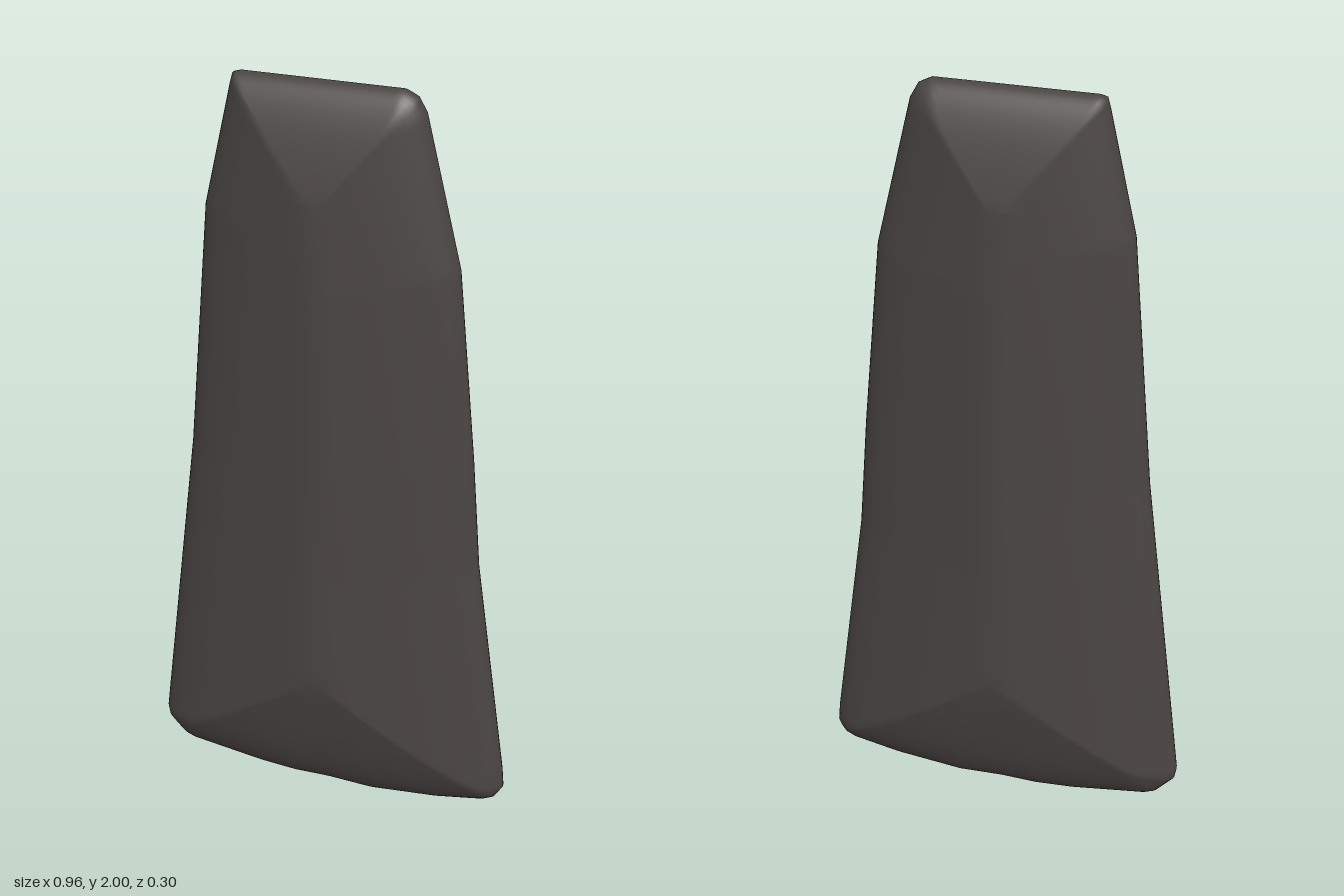
import * as THREE from 'three';
import { mergeVertices } from 'three/addons/utils/BufferGeometryUtils.js';

// Outline of the blade, anticlockwise from the bottom centre
const OUTLINE = [
  [0, 0.008], [0.12, 0.002], [0.3, 0.02], [0.43, 0.045], [0.46, 0.06], [0.48, 0.095],
  [0.475, 0.15], [0.385, 0.78], [0.36, 1.08], [0.31, 1.58], [0.22, 1.95], [0.2, 1.985],
  [0.17, 2], [-0.22, 2], [-0.236, 1.995], [-0.243, 1.97], [-0.312, 1.67], [-0.37, 1.02],
  [-0.48, 0.14], [-0.475, 0.11], [-0.43, 0.058], [-0.4, 0.045], [-0.2, 0.014], [-0.1, 0.006],
];
const RIDGE_LOW = 0.42, RIDGE_HIGH = 1.74, RIDGE_STEP = 0.03;
const STEP = 0.015, RINGS = 16, BULGE = 0.23;

// Even samples along the outline, keeping its corners
function sampleOutline() {
  const points = [];
  OUTLINE.forEach(([ax, ay], i) => {
    const [bx, by] = OUTLINE[(i + 1) % OUTLINE.length];
    const n = Math.ceil(Math.hypot(bx - ax, by - ay) / STEP);
    for (let k = 0; k < n; k++) points.push([ax + (bx - ax) * k / n, ay + (by - ay) * k / n]);
  });
  return points;
}

// Shortest distance from a point to the outline
function edgeDistance(x, y) {
  let best = Infinity;
  OUTLINE.forEach(([ax, ay], i) => {
    const [bx, by] = OUTLINE[(i + 1) % OUTLINE.length];
    const dx = bx - ax, dy = by - ay;
    const t = THREE.MathUtils.clamp(((x - ax) * dx + (y - ay) * dy) / (dx * dx + dy * dy), 0, 1);
    best = Math.min(best, Math.hypot(x - ax - dx * t, y - ay - dy * t));
  });
  return best;
}

// Rings run from the back ridge, round the rim, to the front ridge;
// the thickness grows with the square root of the distance to the rim
function bladeGeometry() {
  const rim = sampleOutline(), positions = [], index = [];
  const rows = 2 * RINGS + 1;
  for (const [x, y] of rim) {
    const level = Math.round((y - RIDGE_LOW) / RIDGE_STEP) * RIDGE_STEP + RIDGE_LOW;
    const ridgeY = THREE.MathUtils.clamp(level, RIDGE_LOW, RIDGE_HIGH);
    for (let s = -RINGS; s <= RINGS; s++) {
      const t = (s / RINGS) ** 2;
      const px = x * (1 - t), py = y + (ridgeY - y) * t;
      const z = s === 0 ? 0 : Math.sign(s) * BULGE * Math.sqrt(edgeDistance(px, py));
      positions.push(px, py, z);
    }
  }
  for (let i = 0; i < rim.length; i++) {
    const a = i * rows, b = ((i + 1) % rim.length) * rows;
    for (let s = 0; s < rows - 1; s++) {
      index.push(a + s, b + s, a + s + 1, b + s, b + s + 1, a + s + 1);
    }
  }
  const geometry = new THREE.BufferGeometry();
  geometry.setAttribute('position', new THREE.Float32BufferAttribute(positions, 3));
  geometry.setIndex(index);
  const merged = mergeVertices(geometry, 1e-4);
  merged.computeVertexNormals();
  return merged;
}

export function createModel() {
  const stone = new THREE.MeshStandardMaterial({ color: 0x4a4543 });
  stone.name = 'dark stone';
  const blade = new THREE.Mesh(bladeGeometry(), stone);
  blade.name = 'stoneBlade';
  const model = new THREE.Group();
  model.name = 'stoneAxeHead';
  model.add(blade);
  return model;
}
